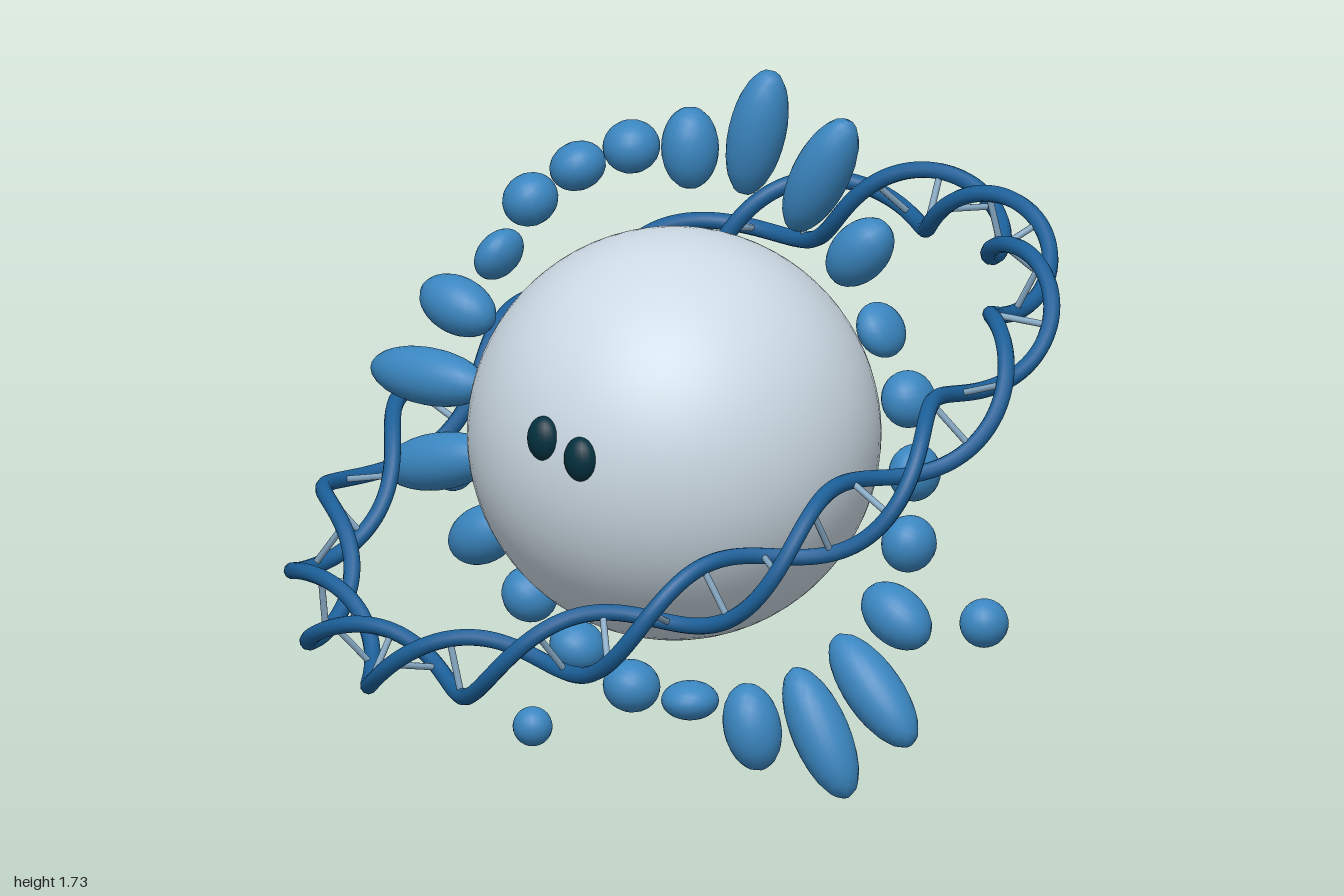
import * as THREE from 'three';

const paint = (name, color) => {
  const m = new THREE.MeshStandardMaterial({ color });
  m.name = name;
  return m;
};

export function createModel() {
  const model = new THREE.Group();
  model.name = 'model';
  const grey = paint('pale grey', 0xccdae4);
  const blue = paint('bead blue', 0x3a86c0);
  const deep = paint('deep blue', 0x1b5f98);
  const steel = paint('steel blue', 0x86a9c4);
  const dark = paint('dark teal', 0x02303f);

  const ball = new THREE.SphereGeometry(1, 20, 14);
  const addBall = (parent, name, mat, pos, size) => {
    const m = new THREE.Mesh(ball, mat);
    m.name = name;
    m.position.set(...pos);
    m.scale.set(...size);
    parent.add(m);
    return m;
  };
  const CX = 0.02, CY = 0.83;

  // Central body
  const body = new THREE.Mesh(new THREE.SphereGeometry(0.487, 64, 40), grey);
  body.name = 'body';
  body.position.set(CX, CY, 0);
  model.add(body);

  // Eyes
  addBall(model, 'rightEye', dark, [0.004, 0.91, 0.472], [0.043, 0.054, 0.036]);
  addBall(model, 'leftEye', dark, [0.11, 0.876, 0.467], [0.043, 0.054, 0.036]);

  // Upright ring of beads; radial half lengths repeat every eight beads
  const beads = new THREE.Group();
  beads.name = 'beadRing';
  beads.position.set(CX, CY, -0.06);
  const halfLengths = [0.058, 0.062, 0.046, 0.105, 0.167, 0.162, 0.099, 0.064];
  for (let i = 0; i < 24; i++) {
    const a = (i * Math.PI) / 12;
    const half = halfLengths[i % 8];
    const r = i === 6 ? 0.68 : 0.614 + half;
    const bead = addBall(beads, 'bead', blue,
      [r * Math.cos(a), r * Math.sin(a), 0], [half, 0.068, 0.068]);
    bead.rotation.z = a;
  }
  model.add(beads);

  // Loose small balls
  for (const [x, y, z, r] of [
    [-0.948, 0.51, -0.387, 0.053], [0.868, 0.485, -0.1, 0.058], [0.24, 0.32, 0.815, 0.047],
  ]) addBall(model, 'smallBall', blue, [x, y, z], [r, r, r]);

  // Tilted double helix bent into a closed ring
  const helix = new THREE.Group();
  helix.name = 'helixRing';
  helix.position.set(CX, CY, 0);
  helix.rotation.set(0.45, 0, 0.22);
  const R = 0.92, AMP = 0.07, TURNS = 8, START = 1.2;
  const strandPoint = (t, phase) => {
    const p = TURNS * t + START + phase;
    const r = R + AMP * Math.cos(p);
    return new THREE.Vector3(r * Math.cos(t), -AMP * Math.sin(p), r * Math.sin(t));
  };
  for (const phase of [0, Math.PI]) {
    const pts = [];
    for (let i = 0; i < 160; i++) pts.push(strandPoint((i / 160) * Math.PI * 2, phase));
    const curve = new THREE.CatmullRomCurve3(pts, true);
    const strand = new THREE.Mesh(new THREE.TubeGeometry(curve, 480, 0.02, 10, true), deep);
    strand.name = 'helixStrand';
    helix.add(strand);
  }

  // Rungs between the strands
  const rungGeo = new THREE.CylinderGeometry(0.008, 0.008, AMP * 2, 8);
  const up = new THREE.Vector3(0, 1, 0);
  for (let i = 0; i < 40; i++) {
    const t = (i / 40) * Math.PI * 2;
    const a = strandPoint(t, 0), b = strandPoint(t, Math.PI);
    const rung = new THREE.Mesh(rungGeo, steel);
    rung.name = 'helixRung';
    rung.position.copy(a).add(b).multiplyScalar(0.5);
    rung.quaternion.setFromUnitVectors(up, b.sub(a).normalize());
    helix.add(rung);
  }
  model.add(helix);
  return model;
}
